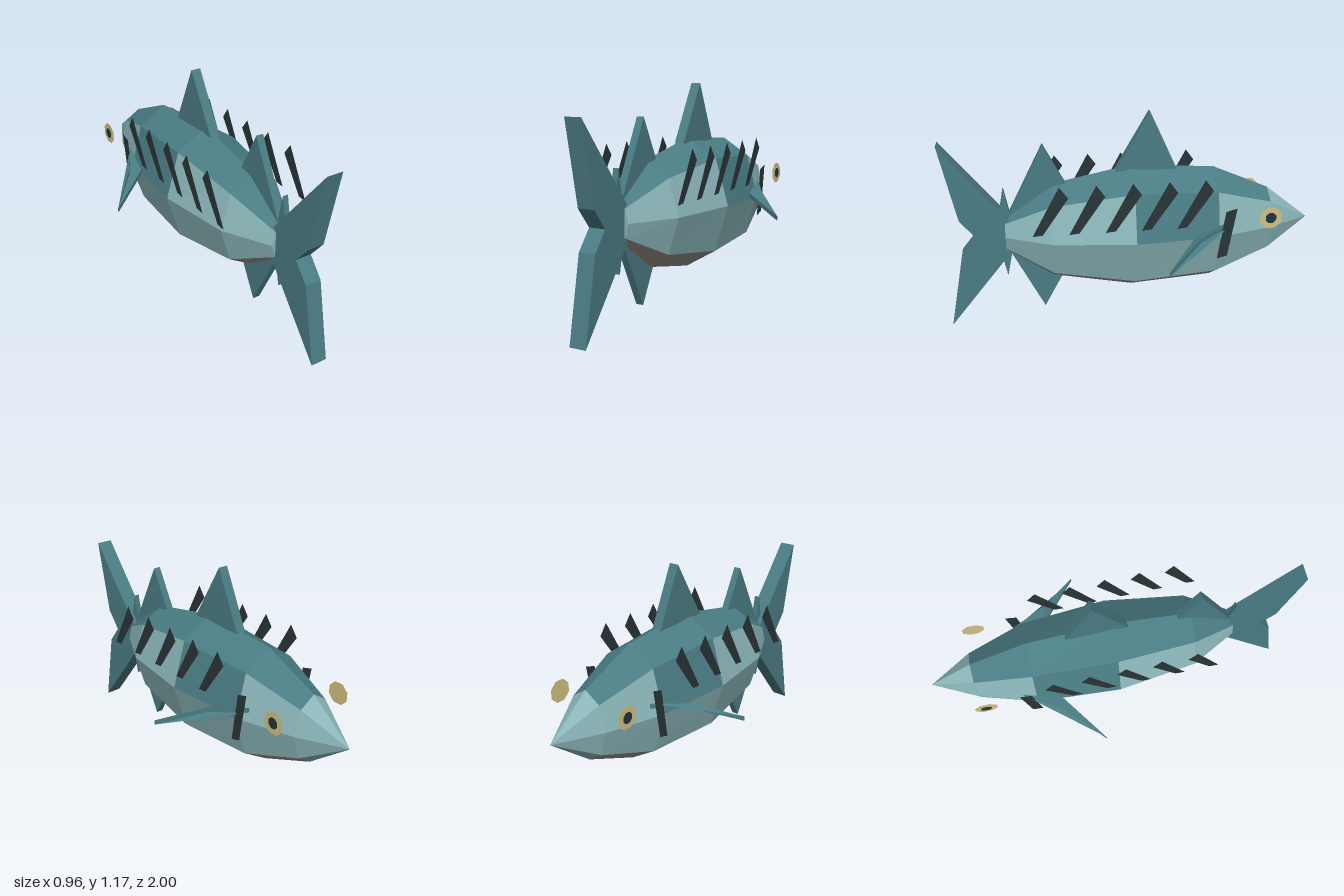
import * as THREE from 'three';

const paint = (color) => new THREE.MeshStandardMaterial({ color, flatShading: true, side: THREE.DoubleSide });

export function createModel() {
  const fish = new THREE.Group();
  const mats = {
    back: paint(0x4a7c84), side: paint(0x8ab5b8), belly: paint(0x9a948c),
    stripe: paint(0x2a3436), eye: paint(0xd2c284), pupil: paint(0x22343a),
  };
  const add = (name, geometry, mat) => {
    const mesh = new THREE.Mesh(geometry, mats[mat]);
    mesh.name = name;
    fish.add(mesh);
    return mesh;
  };
  // Side-profile shape from [z, y] points; rotated so it lies in the z-y plane
  const profile = (pts) => new THREE.Shape(pts.map(([z, y]) => new THREE.Vector2(-z, y)));

  // Body: octagonal rings [z, half width, half height], nose to tail
  const midY = 0.52;
  const rings = [[-1, 0, 0], [-0.76, 0.12, 0.19], [-0.45, 0.215, 0.325],
    [0, 0.25, 0.355], [0.43, 0.195, 0.27], [0.68, 0.066, 0.1]];
  const point = (i, k) => {
    const [z, w, h] = rings[i];
    const a = (k * Math.PI) / 4;
    return [w * Math.sin(a), midY + h * Math.cos(a), z];
  };
  const faces = { back: [], side: [], belly: [] };
  for (let k = 0; k < 8; k++) {
    const band = k === 0 || k === 7 ? 'back' : k === 3 || k === 4 ? 'belly' : 'side';
    for (let i = 0; i < rings.length - 1; i++) {
      let panel = band;
      if (i === 0) panel = 'side'; // pale snout
      if (i === 2 && (k === 1 || k === 6)) panel = 'back'; // dark flank patch
      const a = point(i, k), b = point(i, k + 1), c = point(i + 1, k + 1), d = point(i + 1, k);
      faces[panel].push(...a, ...d, ...c);
      if (i > 0) faces[panel].push(...a, ...c, ...b);
    }
    faces.side.push(0, midY, 0.68, ...point(5, k + 1), ...point(5, k)); // tail stump
  }
  for (const [name, list] of Object.entries(faces)) {
    const g = new THREE.BufferGeometry();
    g.setAttribute('position', new THREE.Float32BufferAttribute(list, 3));
    g.computeVertexNormals();
    add(name + 'Panels', g, name);
  }

  // Upright fins: flat profiles with thickness
  const fin = (name, thickness, pts) => {
    const g = new THREE.ExtrudeGeometry(profile(pts), { depth: thickness, bevelEnabled: false });
    g.translate(0, 0, -thickness / 2).rotateY(Math.PI / 2);
    add(name, g, 'back');
  };
  fin('tailFin', 0.09, [[1, 1.033], [0.917, 0.62], [0.836, 0.52], [0.917, 0.42], [1, 0],
    [0.65, 0.43], [0.65, 0.6]]);
  fin('dorsalFin', 0.054, [[-0.1, 1.167], [0.085, 0.85], [-0.245, 0.85]]);
  fin('rearDorsalFin', 0.04, [[0.465, 1.01], [0.67, 0.61], [0.34, 0.77]]);
  fin('analFin', 0.04, [[0.485, 0.07], [0.66, 0.42], [0.37, 0.28]]);
  fin('upperFinlet', 0.03, [[0.68, 0.78], [0.72, 0.58], [0.64, 0.58]]);
  fin('lowerFinlet', 0.03, [[0.68, 0.27], [0.72, 0.46], [0.64, 0.46]]);

  for (const s of [1, -1]) {
    const label = s > 0 ? 'left' : 'right';

    // Pectoral fin: box whose corners are moved to a swept blade
    const g = new THREE.BoxGeometry(1, 1, 1);
    const p = g.attributes.position;
    const corners = {
      '-1,-1': [0.19, 0.6, -0.52], '1,-1': [0.3, 0.56, -0.33],
      '1,1': [0.48, 0.465, -0.13], '-1,1': [0.23, 0.545, -0.32],
    };
    for (let i = 0; i < p.count; i++) {
      const [x, y, z] = corners[`${Math.sign(p.getX(i)) * s},${Math.sign(p.getZ(i))}`];
      p.setXYZ(i, s * x, y - (p.getY(i) < 0 ? 0.025 : 0), z);
    }
    g.computeVertexNormals();
    add(label + 'PectoralFin', g, 'back');

    // Paper-thin markings standing off the flanks
    const marking = (name, x, geometry, mat) => {
      add(label + name, geometry.rotateY(Math.PI / 2), mat).position.x = s * x;
    };
    for (let i = 0; i < 5; i++) {
      const o = i * 0.187;
      marking('Stripe' + (i + 1), 0.252, new THREE.ShapeGeometry(profile([
        [o - 0.21, 0.6], [o - 0.262, 0.605], [o - 0.397, 0.8], [o - 0.352, 0.862]])), 'stripe');
    }
    marking('Gill', 0.226, new THREE.ShapeGeometry(profile([
      [-0.435, 0.4], [-0.49, 0.415], [-0.535, 0.685], [-0.475, 0.668]])), 'stripe');
    const disc = (r) => new THREE.CircleGeometry(r, 8, Math.PI / 8).translate(0.72, 0.62, 0);
    marking('Eye', 0.225, disc(0.063), 'eye');
    marking('Pupil', 0.228, disc(0.031), 'pupil');
  }
  return fish;
}
